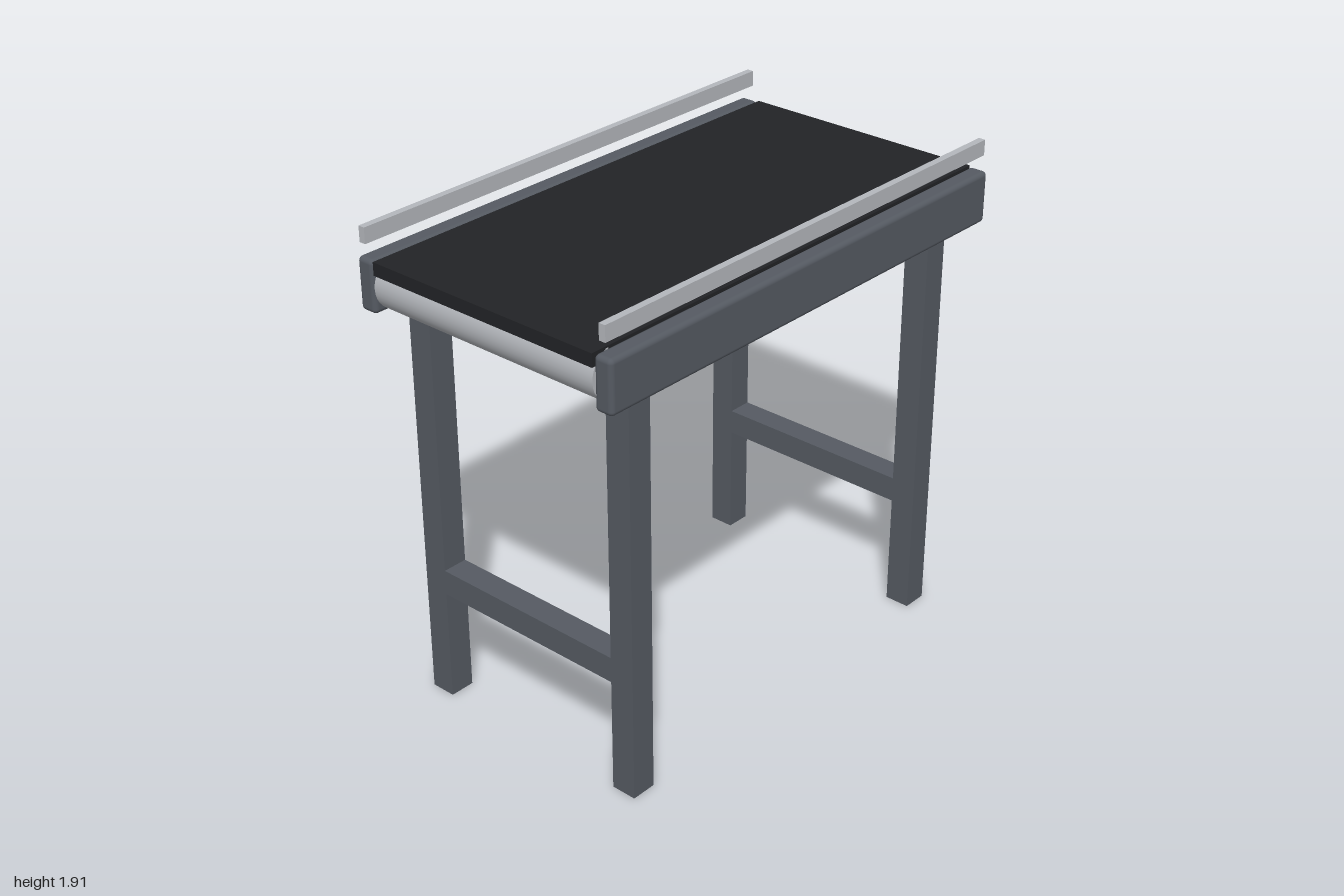
import * as THREE from 'three';
import { RoundedBoxGeometry } from 'three/addons/geometries/RoundedBoxGeometry.js';

export function createModel() {
  const model = new THREE.Group();
  model.name = 'conveyor';
  const frame = new THREE.MeshStandardMaterial({ color: 0x555a62 });
  const rubber = new THREE.MeshStandardMaterial({ color: 0x222326 });
  const steel = new THREE.MeshStandardMaterial({ color: 0xb4b7bc });

  const add = (name, geometry, material, x, y, z) => {
    const mesh = new THREE.Mesh(geometry, material);
    mesh.name = name;
    mesh.position.set(x, y, z);
    model.add(mesh);
    return mesh;
  };

  // flat belt slab between the side rails
  add('belt', new THREE.BoxGeometry(2, 0.05, 1), rubber, 0, 1.775, 0);

  const railGeometry = new RoundedBoxGeometry(2, 0.2, 0.075, 4, 0.018);
  const guardGeometry = new THREE.BoxGeometry(2, 0.06, 0.027);
  const legGeometry = new THREE.BoxGeometry(0.1, 1.6, 0.1);
  const braceGeometry = new THREE.BoxGeometry(0.1, 0.1, 0.82);
  const rollerGeometry = new THREE.CylinderGeometry(0.1, 0.1, 1, 32).rotateX(Math.PI / 2);

  // side rails with the guide strips floating above them
  for (const [side, s] of [['front', 1], ['back', -1]]) {
    add(side + 'Rail', railGeometry, frame, 0, 1.7, s * 0.5425);
    add(side + 'Guide', guardGeometry, steel, 0, 1.885, s * 0.545);
  }

  // each end: a roller under the belt, two legs and a brace
  for (const [end, e] of [['left', 1], ['right', -1]]) {
    add(end + 'Roller', rollerGeometry, steel, e * 0.9, 1.7, 0);
    add(end + 'Brace', braceGeometry, frame, e * 0.8, 0.5, 0);
    add(end + 'FrontLeg', legGeometry, frame, e * 0.8, 0.8, 0.46);
    add(end + 'BackLeg', legGeometry, frame, e * 0.8, 0.8, -0.46);
  }
  return model;
}
